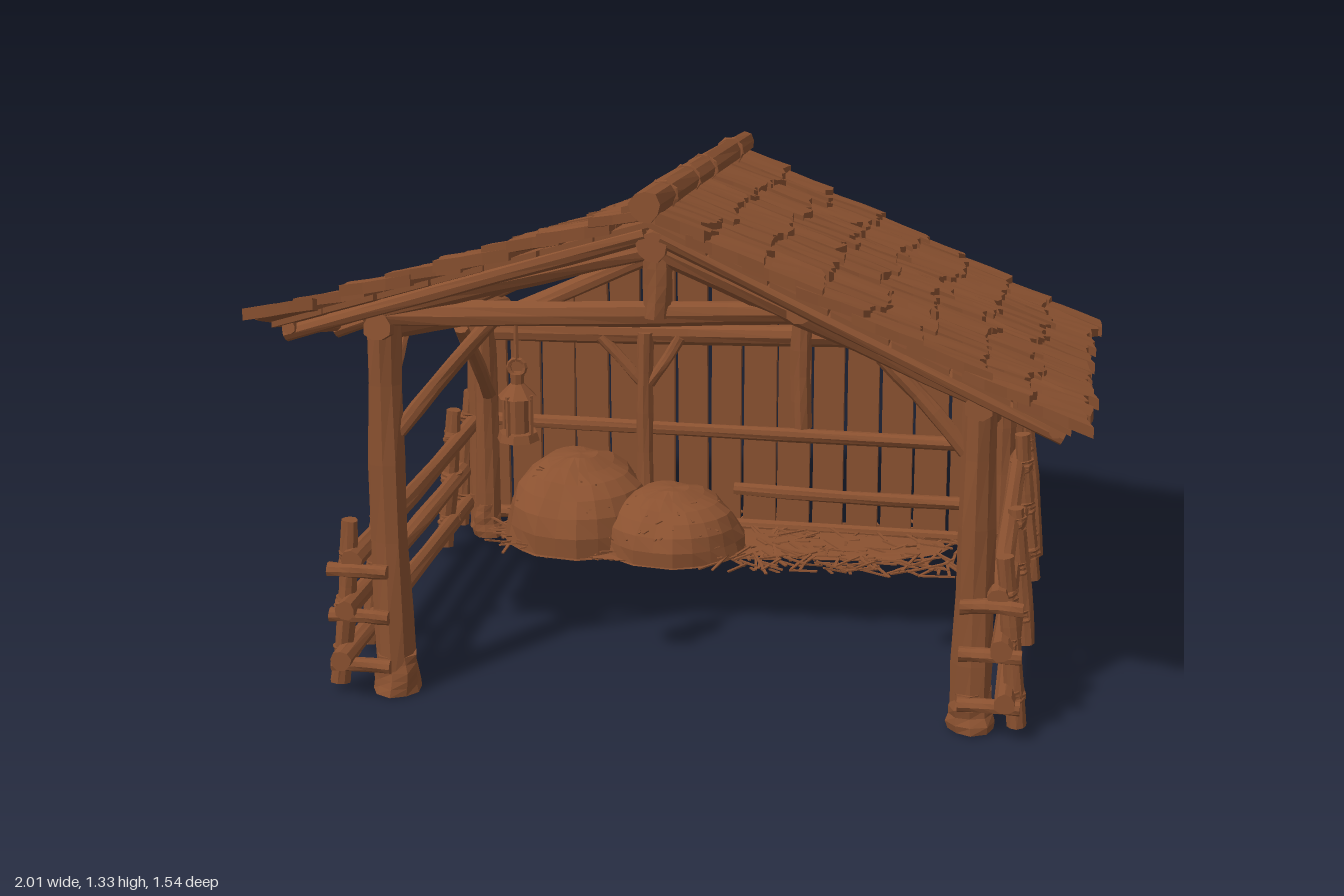
import * as THREE from 'three';
import { mergeGeometries } from 'three/addons/utils/BufferGeometryUtils.js';

const V = (x, y, z) => new THREE.Vector3(x, y, z);

export function createModel() {
  const model = new THREE.Group();
  model.name = 'stableShelter';
  const wood = new THREE.MeshStandardMaterial({ color: 0x8a5130 });
  wood.name = 'brownWood';

  // Small seeded random, r(a) gives -a..a
  let seed = 7;
  const rnd = () => (seed = (seed * 16807) % 2147483647) / 2147483647;
  const r = (a) => (rnd() * 2 - 1) * a;

  // Move every vertex by a rule, then facet
  function warp(geo, rule = () => {}) {
    const p = geo.attributes.position, v = V(0, 0, 0);
    for (let i = 0; i < p.count; i++) {
      v.fromBufferAttribute(p, i);
      rule(v);
      p.setXYZ(i, v.x, v.y, v.z);
    }
    const flat = geo.index ? geo.toNonIndexed() : geo;
    flat.computeVertexNormals();
    return flat;
  }
  function add(name, geos) {
    const mesh = new THREE.Mesh(mergeGeometries([].concat(geos)), wood);
    mesh.name = name;
    model.add(mesh);
    return mesh;
  }
  // Rough, slightly crooked log from a to b
  function log(a, b, r0, r1 = r0) {
    const len = a.distanceTo(b), ph = rnd() * 6, bend = r(0.006);
    const geo = new THREE.CylinderGeometry(r1, r0, len, 9, 5);
    const rough = warp(geo, (v) => {
      const t = v.y / len + 0.5, ang = Math.atan2(v.z, v.x);
      const k = 1 + 0.07 * Math.sin(ang * 3 + ph + t * 5) + 0.05 * Math.sin(t * 17 + ph);
      v.x = v.x * k + bend * Math.sin(t * Math.PI);
      v.z *= k;
    });
    const q = new THREE.Quaternion().setFromUnitVectors(V(0, 1, 0), b.clone().sub(a).normalize());
    rough.applyQuaternion(q);
    const m = a.clone().add(b).multiplyScalar(0.5);
    return rough.translate(m.x, m.y, m.z);
  }

  // Roof surface: left and right eaves twist differently along z
  const RX = -0.03;
  const ridgeY = (z) => 1.205 + 0.1 * z;
  const eaveY = (s, z) => (s > 0 ? 0.735 + 0.1 * z : 0.81 + 0.25 * z);
  const span = (s, z) => (s > 0 ? 0.985 + 0.05 * z * z : 0.9 + 0.035 * Math.abs(z) + 0.03 * Math.max(0, z));
  const roof = (s, u, z, lift = 0) =>
    V(RX + s * u * span(s, z), ridgeY(z) + (eaveY(s, z) - ridgeY(z)) * u + lift, z);

  for (const s of [1, -1]) {
    const side = s > 0 ? 'left' : 'right';
    // Overlapping, uneven, slightly warped shingles
    const shingles = [], rows = 8;
    for (let row = 0; row < rows; row++) {
      let z = -0.75 + r(0.015);
      while (z < 0.71) {
        const w = Math.min(0.07 + rnd() * 0.07, 0.75 - z);
        const u0 = row / rows - 0.035, u1 = (row + 1) / rows + 0.012 + r(0.022);
        const skew = r(0.018), turn = r(0.01), thick = 0.022 + rnd() * 0.008, tilt = r(0.009);
        const zc = z + w / 2, ph = rnd() * 6;
        shingles.push(warp(new THREE.BoxGeometry(1, 1, 1, 3, 1, 3), (v) => {
          const t = s * v.x + 0.5;
          const u = Math.max(0, u0 + (u1 - u0) * t + (skew * v.z + 0.006 * Math.sin(v.z * 9 + ph)) * t);
          const zz = zc + v.z * (w - 0.002) + turn * t + 0.003 * Math.sin(t * 8 + ph);
          const wave = 0.0015 * Math.sin(v.z * 6 + t * 5 + ph);
          v.copy(roof(s, u, zz, -0.015 + 0.02 * t + v.y * thick + tilt * v.z + wave));
        }));
        z += w;
      }
    }
    add(side + 'RoofShingles', shingles);

    // Boards below the shingles
    const boards = [];
    for (let i = 0; i < 7; i++) {
      const ua = i / 7 * 0.97, ub = ua + 0.132, e = r(0.01);
      boards.push(warp(new THREE.BoxGeometry(1, 1, 1, 1, 1, 4), (v) => {
        const u = ua + (ub - ua) * (s * v.x + 0.5);
        v.copy(roof(s, u, v.z * 1.44 + e, -0.034 + v.y * 0.014));
      }));
    }
    add(side + 'RoofBoards', boards);

    // Rafters and purlins
    const frame = [];
    for (const z of [0.66, 0.34, 0.02, -0.3, -0.62])
      frame.push(log(roof(s, 0.02, z, -0.06), roof(s, 0.95, z, -0.06), 0.022, 0.02));
    frame.push(log(roof(s, 0.34, 0.6, -0.085), roof(s, 0.34, -0.7, -0.085), 0.02));
    frame.push(log(roof(s, 0.93, 0.69, -0.05), roof(s, 0.93, -0.72, -0.05), 0.017));
    add(side + 'Rafters', frame);
  }

  // Ridge pole with lashings and a cap board beside it
  const pole = [log(V(RX, 1.293, 0.765), V(RX, 1.15, -0.765), 0.038, 0.03)];
  for (const z of [0.56, 0.22, -0.04, -0.5])
    pole.push(log(V(RX, 1.222 + 0.095 * (z - 0.006), z - 0.006), V(RX, 1.222 + 0.095 * (z + 0.006), z + 0.006), 0.037));
  pole.push(warp(new THREE.BoxGeometry(0.045, 0.02, 1.48, 1, 1, 10), (v) => {
    const out = v.x - 0.022 + 0.006 * Math.sin(v.z * 11);
    v.set(RX - 0.02 + out, ridgeY(v.z) + 0.008 + out * 0.3 + v.y, v.z);
  }));
  add('ridgePole', pole);
  add('innerRidgeBeam', log(V(RX, 1.18, 0.68), V(RX, 1.05, -0.68), 0.038));

  // Main posts with flared feet
  const post = (x, z, y0, top, rad) => [
    log(V(x, y0, z), V(x, top, z), rad, rad * 0.86),
    log(V(x + r(0.006), y0, z), V(x, y0 + 0.1, z), rad * 1.22, rad)];
  add('frontPosts', [...post(-0.7, 0.6, 0, 1, 0.049), ...post(0.73, 0.6, 0, 0.86, 0.049)]);
  add('backPosts', [1, -1].flatMap((s) => [
    ...post(s * 0.74, -0.48, 0.02, 0.7, 0.037), ...post(s * 0.785, -0.555, 0.02, 0.66, 0.028)]));

  // Plates along the tops of the posts
  add('sidePlates', [log(V(0.73, 0.825, 0.66), V(0.74, 0.69, -0.66), 0.034),
    log(V(-0.7, 0.955, 0.66), V(-0.73, 0.66, -0.66), 0.034)]);

  // Front truss
  add('frontTruss', [
    log(V(-0.74, 0.975, 0.61), V(0.36, 1.025, 0.61), 0.033, 0.028),
    log(V(RX, 1.0, 0.62), V(RX, 1.2, 0.62), 0.034),
    log(V(0.31, 0.73, 0.57), V(0.31, 1.05, 0.57), 0.024),
    log(V(0.31, 1.035, 0.66), V(0.31, 0.92, -0.62), 0.03),
    log(V(RX, 1.17, 0.62), V(-0.72, 0.99, 0.62), 0.03),
    log(V(RX, 1.17, 0.62), V(0.77, 0.83, 0.62), 0.034),
    log(V(-0.67, 0.68, 0.6), V(-0.43, 0.97, 0.6), 0.02),
    log(V(0.7, 0.7, 0.6), V(0.5, 0.92, 0.6), 0.02)]);

  // Diagonal side braces
  add('sideBraces', [1, -1].flatMap((s) => {
    const x = s * 0.72, d = s > 0 ? 0 : 0.1;
    return [log(V(x, 0.61 + d, 0.57), V(x, 0.79 + d, 0.36), 0.02),
      log(V(x, 0.46, -0.45), V(x, 0.73, -0.17), 0.02)];
  }));

  // Back wall planks rising to a gable
  const planks = [], n = 16;
  for (let i = 0; i < n; i++) {
    const w = 1.57 / n, x = -0.785 + w * (i + 0.5), base = 0.05 + r(0.012), up = r(0.012), lean = r(0.006);
    const gap = 0.005 + rnd() * 0.011;
    planks.push(warp(new THREE.BoxGeometry(1, 1, 1), (v) => {
      const px = x + v.x * (w - gap) + lean * v.y;
      const top = 0.95 - 0.4 * Math.abs(px) + up;
      v.set(px, v.y > 0 ? top : base, -0.57 + v.z * 0.022 + lean);
    }));
  }
  add('backWallPlanks', planks);

  // Back wall rails and gable poles
  add('backWallFrame', [
    log(V(-0.76, 0.63, -0.51), V(0.77, 0.67, -0.51), 0.03),
    log(V(-0.76, 0.36, -0.525), V(0.76, 0.35, -0.525), 0.02),
    log(V(-0.02, 0.185, -0.525), V(0.76, 0.175, -0.525), 0.019),
    log(V(-0.76, 0.075, -0.53), V(0.76, 0.07, -0.53), 0.018),
    log(V(-0.27, 0.06, -0.49), V(-0.27, 0.65, -0.49), 0.024),
    log(V(-0.28, 0.5, -0.49), V(-0.4, 0.63, -0.49), 0.016),
    log(V(-0.26, 0.5, -0.49), V(-0.17, 0.64, -0.49), 0.016),
    ...[-0.52, -0.61].flatMap((z) => [
      log(V(RX, 0.97, z), V(-0.77, 0.62, z), 0.024),
      log(V(RX, 0.97, z), V(0.79, 0.64, z), 0.024)]),
    log(V(RX, 0.9, -0.6), V(RX, 1.08, -0.6), 0.028)]);

  // Side fences, leaning inward
  for (const s of [1, -1]) {
    const at = (y, z, off = 0) => V(s * (0.845 - 0.1 * y + off), y, z);
    const fence = [];
    const stakes = s > 0 ? [[0.62, 0.45], [0.1, 0.39], [-0.37, 0.44], [-0.56, 0.41]]
      : [[0.62, 0.45], [0.36, 0.45], [-0.37, 0.43], [-0.56, 0.43]];
    for (const [z, h] of stakes) fence.push(log(at(0.02, z), at(h, z), 0.025, 0.021));
    const rails = [[0.35, 0.66, -0.64], [0.23, 0.69, -0.45], [0.1, 0.7, -0.64]];
    for (const [y, za, zb] of rails) {
      fence.push(log(at(y + 0.006, za, -0.02), at(y - 0.008, zb, -0.02), 0.026, 0.023));
      // Lashings where rails meet stakes
      for (const [z] of stakes)
        if (z > zb) fence.push(log(at(y - 0.016, z, -0.008), at(y + 0.016, z, -0.008), 0.032));
      // Stub ends tying the fence to the main post
      fence.push(log(V(s * 0.7, y - 0.02, 0.655), V(s * 0.85, y - 0.02, 0.655), 0.018));
    }
    add(s > 0 ? 'leftFence' : 'rightFence', fence);
  }

  // Hay mounds with flat undersides
  const mound = (x, z, rx, h, rz) => warp(new THREE.SphereGeometry(1, 22, 14), (v) => {
    const k = 1 + 0.025 * Math.sin(v.x * 9 + v.z * 7) + 0.02 * Math.sin(v.y * 11 + v.z * 5);
    v.set(x + v.x * rx * k, 0.06 + Math.max(v.y, -0.02) * h * k, z + v.z * rz * k);
  });
  add('hayMounds', [mound(-0.45, -0.43, 0.22, 0.245, 0.22), mound(-0.17, -0.36, 0.205, 0.18, 0.18)]);

  // Straw bed along the back wall, with loose stalks spreading to the left
  const straw = [mound(-0.28, -0.44, 0.41, 0.012, 0.23), mound(0.2, -0.46, 0.4, 0.01, 0.15)];
  for (let i = 0; i < 460; i++) {
    const g = new THREE.BoxGeometry(0.05 + rnd() * 0.07, 0.004, 0.008);
    g.rotateZ(r(0.3)).rotateY(r(3.14));
    const x = -0.02 + r(0.66);
    g.translate(x, 0.064 + r(0.012), -0.43 + r(0.22 - 0.08 * Math.abs(x)));
    straw.push(warp(g));
  }
  // Stalks sticking out of the mounds
  for (let i = 0; i < 90; i++) {
    const a = rnd() * Math.PI * 2, e = rnd() * 1.1;
    const [x, z, rx, h] = i % 2 ? [-0.45, -0.43, 0.21, 0.235] : [-0.17, -0.36, 0.19, 0.17];
    const g = new THREE.BoxGeometry(0.04, 0.003, 0.005).rotateZ(r(0.7)).rotateY(-a + r(0.5));
    g.translate(x + Math.cos(a) * Math.cos(e) * rx, 0.06 + Math.sin(e) * h, z + Math.sin(a) * Math.cos(e) * rx * 0.95);
    straw.push(warp(g));
  }
  add('looseStraw', straw);

  // Hanging lantern
  const cyl = (r1, r0, h, y, sides = 8) =>
    new THREE.CylinderGeometry(r1, r0, h, sides).translate(0, y, 0);
  const parts = [cyl(0.046, 0.052, 0.02, 0.69), cyl(0.028, 0.028, 0.085, 0.74), cyl(0.014, 0.048, 0.035, 0.805),
    cyl(0.018, 0.016, 0.025, 0.833), cyl(0.006, 0.006, 0.09, 0.92, 5),
    new THREE.TorusGeometry(0.02, 0.006, 5, 12).translate(0, 0.86, 0)];
  for (let i = 0; i < 4; i++) {
    const a = i * Math.PI / 2 + 0.4;
    parts.push(cyl(0.006, 0.006, 0.1, 0.745, 5).translate(Math.cos(a) * 0.039, 0, Math.sin(a) * 0.039));
  }
  add('lantern', parts.map((g) => warp(g))).position.set(-0.37, 0, 0.62);

  return model;
}
